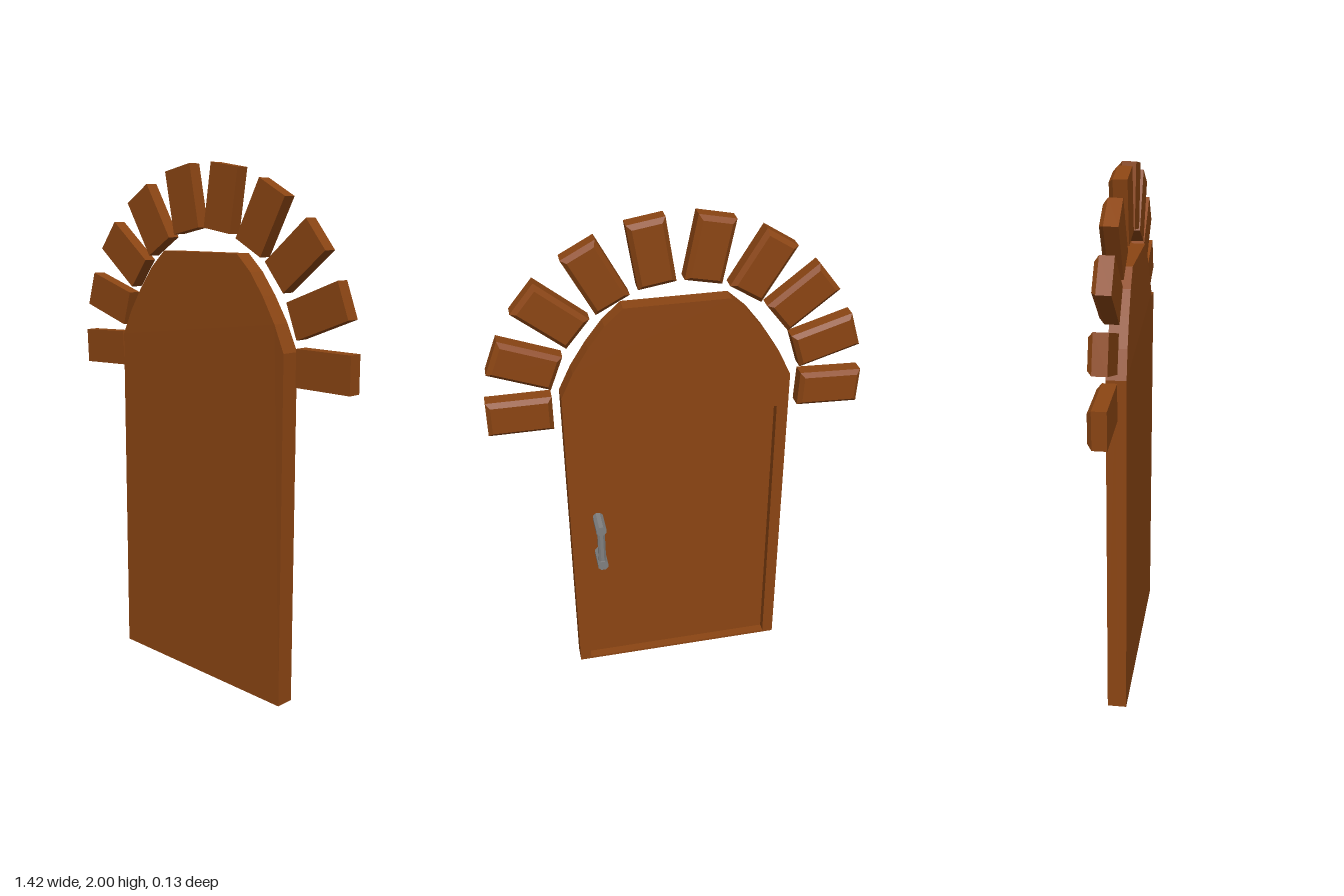
import * as THREE from 'three';
import { ConvexGeometry } from 'three/addons/geometries/ConvexGeometry.js';

const wood = new THREE.MeshStandardMaterial({ color: 0x8b4513, flatShading: true });
const metal = new THREE.MeshStandardMaterial({ color: 0x808080, flatShading: true });

function add(parent, name, geometry, material) {
  const mesh = new THREE.Mesh(geometry, material);
  mesh.name = name;
  parent.add(mesh);
  return mesh;
}

// Arched door outline, mirrored from its right half
function doorOutline() {
  const half = [[0.435, 0], [0.435, 1.336], [0.388, 1.435], [0.328, 1.53], [0.265, 1.612], [0.196, 1.675]];
  const points = half.map(([x, y]) => new THREE.Vector2(x, y));
  const mirrored = half.map(([x, y]) => new THREE.Vector2(-x, y)).reverse();
  return new THREE.Shape([...points, ...mirrored]);
}

function slab(shape, back, front) {
  const geometry = new THREE.ExtrudeGeometry(shape, { depth: front - back, bevelEnabled: false });
  return geometry.translate(0, 0, back);
}

// Stone block with its back edges chamfered
function stoneGeometry(length, width, back, front, chamfer) {
  const points = [];
  for (const [inset, z] of [[0, front], [0, back + chamfer], [chamfer, back]]) {
    for (const sx of [-1, 1]) {
      for (const sy of [-1, 1]) {
        points.push(new THREE.Vector3(sx * (length / 2 - inset), sy * (width / 2 - inset), z));
      }
    }
  }
  return new ConvexGeometry(points);
}

export function createModel() {
  const model = new THREE.Group();
  model.name = 'archedDoor';

  // Door panel, its face leaning back slightly over the arch
  const panel = slab(doorOutline(), 0.03, 0.067);
  const pos = panel.attributes.position;
  for (let i = 0; i < pos.count; i++) {
    if (pos.getZ(i) > 0.06) pos.setZ(i, pos.getZ(i) - Math.max(0, pos.getY(i) - 1.336) * 0.027);
  }
  panel.computeVertexNormals();
  add(model, 'doorPanel', panel, wood);

  // Raised frame around the recess on the back
  const frame = doorOutline();
  frame.holes.push(new THREE.Path([[-0.39, 0.01], [-0.39, 1.2], [0.39, 1.2], [0.39, 0.01]]
    .map(([x, y]) => new THREE.Vector2(x, y))));
  add(model, 'doorFrame', slab(frame, -0.005, 0.03), wood);

  // Ring of loose stones: centre x, centre y, tilt in degrees
  const arch = new THREE.Group();
  arch.name = 'stoneArch';
  model.add(arch);
  const stone = stoneGeometry(0.24, 0.138, -0.027, 0.04, 0.016);
  const stones = [
    [0.589, 1.286, 0], [0.557, 1.491, 21], [0.453, 1.673, 39.5], [0.289, 1.802, 62], [0.093, 1.872, 81],
    [-0.114, 1.869, 101.5], [-0.309, 1.791, 122], [-0.464, 1.654, 142], [-0.562, 1.47, 163], [-0.591, 1.265, 182.5],
  ];
  for (const [x, y, tilt] of stones) {
    const mesh = add(arch, 'archStone', stone, wood);
    mesh.position.set(x, y, 0);
    mesh.rotation.z = THREE.MathUtils.degToRad(tilt);
  }

  // Pull handle: two posts and a grip
  const handle = new THREE.Group();
  handle.name = 'handle';
  handle.position.set(0.322, 0.66, 0);
  model.add(handle);
  const post = new THREE.CylinderGeometry(0.022, 0.022, 0.097, 8).rotateY(Math.PI / 8).rotateX(Math.PI / 2);
  for (const side of [-1, 1]) {
    add(handle, 'handlePost', post, metal).position.set(0, side * 0.088, -0.0185);
  }
  const grip = new THREE.CylinderGeometry(0.016, 0.016, 0.176, 8).rotateY(Math.PI / 8);
  add(handle, 'handleGrip', grip, metal).position.z = -0.046;

  return model;
}
